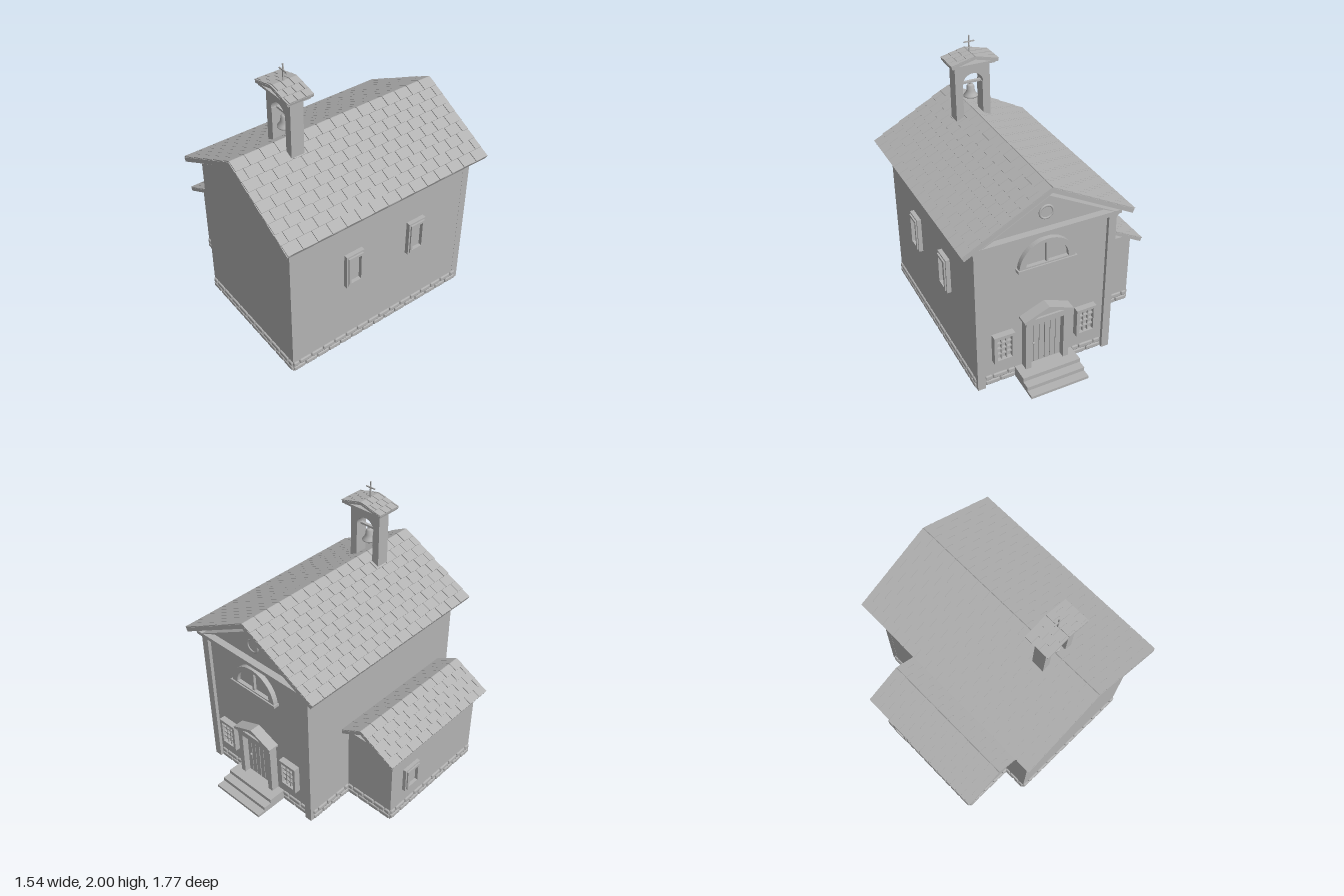
import * as THREE from 'three';
import { mergeGeometries } from 'three/addons/utils/BufferGeometryUtils.js';
import { RoundedBoxGeometry } from 'three/addons/geometries/RoundedBoxGeometry.js';

const stone = new THREE.MeshStandardMaterial({ color: 0xb2b2b2 });
stone.name = 'grey stone';

// Box given by its limits on each axis
function box(x0, x1, y0, y1, z0, z1) {
  return new THREE.BoxGeometry(x1 - x0, y1 - y0, z1 - z0)
    .translate((x0 + x1) / 2, (y0 + y1) / 2, (z0 + z1) / 2);
}

function poly(points) {
  return new THREE.Shape(points.map(([x, y]) => new THREE.Vector2(x, y)));
}

function extrude(shape, z0, z1) {
  return new THREE.ExtrudeGeometry(shape, { depth: z1 - z0, bevelEnabled: false, curveSegments: 20 })
    .translate(0, 0, z0);
}

// Frame with bars, centred on the origin, facing +z
function windowGeometry(w, h, depth, border, cols, rows) {
  const a = w / 2, b = h / 2, c = a - border, d = b - border;
  const shape = poly([[-a, -b], [a, -b], [a, b], [-a, b]]);
  shape.holes.push(poly([[-c, -d], [-c, d], [c, d], [c, -d]]));
  const parts = [extrude(shape, 0, depth).toNonIndexed ? extrude(shape, 0, depth) : null,
    box(-c, c, -d, d, 0, depth * 0.35).toNonIndexed()];
  for (let i = 1; i < cols; i++) {
    const x = -c + (2 * c * i) / cols;
    parts.push(box(x - 0.004, x + 0.004, -d, d, 0, depth * 0.75).toNonIndexed());
  }
  for (let j = 1; j < rows; j++) {
    const y = -d + (2 * d * j) / rows;
    parts.push(box(-c, c, y - 0.004, y + 0.004, 0, depth * 0.75).toNonIndexed());
  }
  return mergeGeometries(parts);
}

export function createModel() {
  const model = new THREE.Group();
  model.name = 'chapel';
  const CX = 0.17, FZ = -0.64;
  function add(name, geometry) {
    const mesh = new THREE.Mesh(geometry, stone);
    mesh.name = name;
    model.add(mesh);
    return mesh;
  }

  // Gabled slab with staggered, slightly tilted tiles
  function roof(name, cx, apex, runs, slope, thick, z0, z1, courses, tileLength) {
    const ang = Math.atan(slope), sn = Math.sin(ang), cs = Math.cos(ang);
    const [l, r] = runs, top = apex - 0.009;
    add(name + 'Slab', extrude(poly([
      [cx - l, top - l * slope], [cx - l + thick * sn, top - l * slope - thick * cs],
      [cx, top - thick / cs],
      [cx + r - thick * sn, top - r * slope - thick * cs], [cx + r, top - r * slope],
      [cx, top],
    ]), z0, z1));
    const tiles = [];
    [-1, 1].forEach((side, k) => {
      const course = l / cs / courses, length = runs[k] / cs;
      for (let i = 0; i * course < length - 0.01; i++) {
        const s0 = i * course, s1 = Math.min(s0 + course, length);
        for (let z = z0 - (i % 2) * tileLength / 2; z < z1 - 0.005; z += tileLength) {
          const a = Math.max(z, z0), b = Math.min(z + tileLength - 0.005, z1);
          if (b - a < 0.01) continue;
          const g = new THREE.BoxGeometry(s1 - s0, 0.007, b - a);
          g.rotateZ(side * 0.05);
          g.translate(side * (s0 + s1) / 2, 0.0045, (a + b) / 2);
          g.rotateZ(-side * ang);
          tiles.push(g.translate(cx, top, 0));
        }
      }
    });
    add(name + 'Tiles', mergeGeometries(tiles));
  }

  // Nave and side room
  add('naveWalls', extrude(poly([[-0.33, 0], [0.67, 0], [0.67, 1.12], [CX, 1.395], [-0.33, 1.12]]), FZ, 0.81));
  add('sideRoomWalls', box(-0.72, -0.33, 0, 0.585, -0.28, 0.63));
  roof('naveRoof', CX, 1.478, [0.595, 0.595], 0.54, 0.028, -0.72, 0.885, 9, 0.107);
  roof('sideRoof', -0.495, 0.738, [0.275, 0.17], 0.55, 0.022, -0.35, 0.7, 5, 0.107);

  // Two courses of rounded footing stones
  const stones = [];
  function footing(x0, z0, x1, z1) {
    const length = Math.hypot(x1 - x0, z1 - z0), n = Math.max(1, Math.round(length / 0.1));
    const angle = Math.atan2(-(z1 - z0), x1 - x0);
    for (let row = 0; row < 2; row++) {
      for (let i = 0; i < n + row; i++) {
        const a = Math.max(0, (i - row / 2) / n), b = Math.min(1, (i + 1 - row / 2) / n);
        const t = (a + b) / 2;
        const g = new RoundedBoxGeometry((b - a) * length - 0.005, 0.036, 0.024, 1, 0.009);
        g.rotateY(angle);
        stones.push(g.translate(x0 + (x1 - x0) * t, 0.023 + row * 0.04, z0 + (z1 - z0) * t));
      }
    }
  }
  footing(-0.33, 0.81, 0.67, 0.81);
  footing(0.67, 0.81, 0.67, FZ);
  footing(-0.33, 0.63, -0.33, 0.81);
  footing(-0.72, 0.63, -0.33, 0.63);
  footing(-0.72, -0.28, -0.72, 0.63);
  footing(-0.72, -0.28, -0.33, -0.28);
  footing(-0.33, FZ, -0.33, -0.28);
  footing(-0.27, FZ, -0.04, FZ);
  footing(0.39, FZ, 0.61, FZ);
  add('footingStones', mergeGeometries(stones));

  // Entrance facade: pilasters, cornices and round opening
  for (const side of [-1, 1]) {
    const inner = CX + side * 0.445, outer = CX + side * 0.501;
    add('cornerPilaster', box(Math.min(inner, outer), Math.max(inner, outer), 0, 1.13, -0.665, FZ + 0.03));
    add('rakingCornice', extrude(poly(side < 0
      ? [[CX, 1.365], [CX, 1.4], [-0.34, 1.125], [-0.34, 1.09 + 0.04]]
      : [[CX, 1.4], [CX, 1.365], [0.68, 1.13], [0.68, 1.125]]), -0.69, FZ));
  }
  add('facadeCornice', box(-0.35, 0.69, 1.125, 1.15, -0.69, FZ));
  add('facadeCorniceLower', box(-0.34, 0.68, 1.105, 1.125, -0.675, FZ));
  add('oculusRing', new THREE.TorusGeometry(0.045, 0.008, 8, 24).translate(CX, 1.26, FZ - 0.004));
  add('oculusPane', new THREE.CylinderGeometry(0.042, 0.042, 0.008, 24).rotateX(Math.PI / 2).translate(CX, 1.26, FZ - 0.002));

  // Half-round window
  const lunette = new THREE.Shape().absarc(CX, 0.88, 0.2, 0, Math.PI, false);
  const glass = new THREE.Path().absarc(CX, 0.905, 0.15, 0, Math.PI, false);
  lunette.holes.push(glass);
  add('lunetteFrame', extrude(lunette, -0.675, FZ));
  add('lunettePane', extrude(new THREE.Shape().absarc(CX, 0.9, 0.16, 0, Math.PI, false), FZ - 0.008, FZ));
  add('lunetteMullion', box(CX - 0.008, CX + 0.008, 0.89, 1.06, -0.668, FZ));
  add('lunetteSill', box(CX - 0.21, CX + 0.21, 0.875, 0.895, -0.685, FZ));

  // Doorway with planked leaves and small pediment
  const dx = 0.175;
  for (const side of [-1, 1]) {
    const c = dx + side * 0.14;
    add('doorJamb', box(c - 0.02, c + 0.02, 0.075, 0.46, -0.7, FZ));
    for (let i = 0; i < 3; i++) {
      const p = dx + side * (0.021 + i * 0.04);
      add('doorPlank', box(p - 0.018, p + 0.018, 0.08, 0.455, -0.655, FZ));
    }
  }
  add('doorHandle', new THREE.SphereGeometry(0.009, 10, 8).translate(dx + 0.085, 0.25, -0.662));
  add('doorLintel', box(dx - 0.16, dx + 0.16, 0.445, 0.49, -0.705, FZ));
  add('doorPediment', extrude(poly([[dx - 0.155, 0.49], [dx + 0.155, 0.49], [dx, 0.55]]), -0.69, FZ));
  add('doorPedimentMoulding', extrude(poly([[dx - 0.18, 0.485], [dx - 0.155, 0.485], [dx, 0.55],
    [dx + 0.155, 0.485], [dx + 0.18, 0.485], [dx + 0.18, 0.5], [dx, 0.572], [dx - 0.18, 0.5]]), -0.72, FZ));
  [[0.078, -0.77], [0.048, -0.83], [0.02, -0.89]].forEach(([h, z]) =>
    add('entranceStep', box(-0.04, 0.39, 0, h, z, FZ)));

  // Windows: barred pair on the facade, framed ones on the sides
  for (const side of [-1, 1]) {
    add('barredWindow', windowGeometry(0.15, 0.22, 0.045, 0.022, 3, 4)
      .rotateY(Math.PI).translate(dx + side * 0.305, 0.31, FZ));
  }
  for (const z of [0.325, -0.195]) {
    add('naveWindow', windowGeometry(0.14, 0.265, 0.03, 0.012, 1, 1).rotateY(Math.PI / 2).translate(0.67, 0.678, z));
    add('naveWindowTrim', windowGeometry(0.116, 0.235, 0.04, 0.018, 1, 1).rotateY(Math.PI / 2).translate(0.67, 0.678, z));
  }
  add('sideRoomWindow', windowGeometry(0.15, 0.19, 0.026, 0.012, 1, 1).rotateY(-Math.PI / 2).translate(-0.72, 0.298, -0.085));
  add('sideRoomWindowTrim', windowGeometry(0.126, 0.165, 0.036, 0.018, 1, 1).rotateY(-Math.PI / 2).translate(-0.72, 0.298, -0.085));

  // Bell gable with arched opening
  const tower = poly([[0.045, 1.38], [0.1, 1.38], [0.1, 1.67]]);
  tower.absarc(CX, 1.67, 0.075, Math.PI, 0, true);
  tower.lineTo(0.245, 1.38).lineTo(0.3, 1.38).lineTo(0.3, 1.815).lineTo(0.045, 1.815);
  add('bellTower', extrude(tower, 0.425, 0.52));
  add('bellTowerCap', box(0.015, 0.33, 1.81, 1.826, 0.39, 0.555));
  roof('bellTowerRoof', CX, 1.888, [0.17, 0.17], 0.25, 0.016, 0.375, 0.565, 3, 0.06);
  add('bellBeam', box(0.09, 0.255, 1.66, 1.674, 0.462, 0.484));

  // Bell and clapper
  const profile = [[0, 1.65], [0.018, 1.648], [0.026, 1.636], [0.029, 1.605], [0.037, 1.582], [0.05, 1.568], [0.05, 1.56],
    [0.043, 1.56], [0.024, 1.6], [0, 1.63]].reverse().map(([x, y]) => new THREE.Vector2(x, y));
  add('bell', new THREE.LatheGeometry(profile, 24).translate(CX, 0, 0.473));
  add('bellHanger', new THREE.CylinderGeometry(0.008, 0.008, 0.02, 10).translate(CX, 1.655, 0.473));
  add('clapper', new THREE.CylinderGeometry(0.004, 0.008, 0.07, 10).translate(CX, 1.588, 0.473));

  // Cross
  add('crossUpright', box(CX - 0.004, CX + 0.004, 1.87, 2, 0.469, 0.477));
  add('crossArm', box(CX - 0.038, CX + 0.038, 1.952, 1.96, 0.469, 0.477));
  return model;
}
